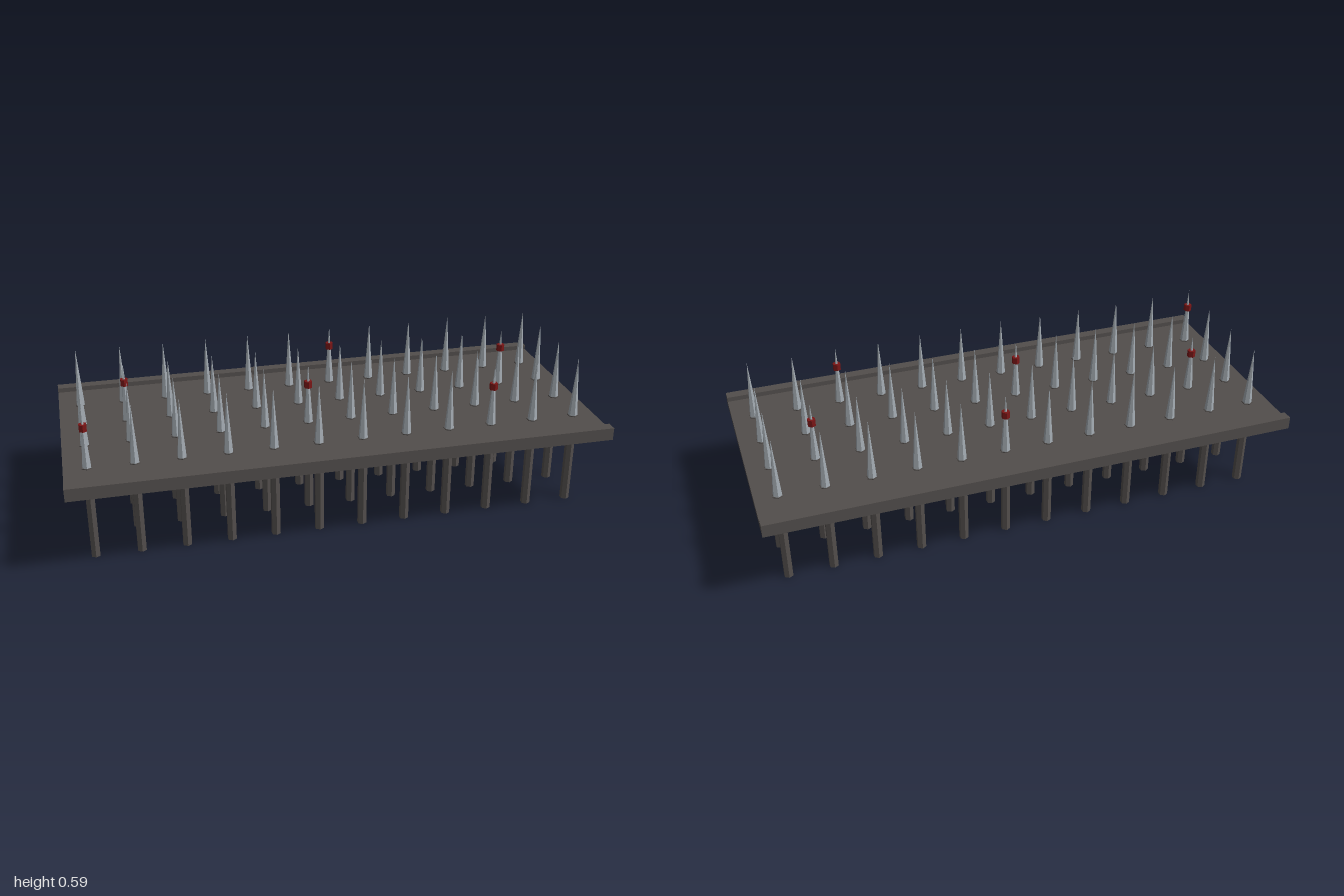
import * as THREE from 'three';

export function createModel() {
  const iron = new THREE.MeshStandardMaterial({ color: 0x524e4c });
  iron.name = 'darkIron';
  const steel = new THREE.MeshStandardMaterial({ color: 0xa3abb2 });
  steel.name = 'paleSteel';
  const red = new THREE.MeshStandardMaterial({ color: 0x7a1616 });
  red.name = 'darkRed';

  const model = new THREE.Group();
  model.name = 'spikeTrap';

  const add = (parent, name, geometry, material, x, y, z) => {
    const mesh = new THREE.Mesh(geometry, material);
    mesh.name = name;
    mesh.position.set(x, y, z);
    parent.add(mesh);
  };
  // Flat facets for the low-poly round parts
  const faceted = (geometry) => {
    const flat = geometry.toNonIndexed();
    flat.computeVertexNormals();
    return flat;
  };

  // Base plate with a raised rail along the front and back edges
  add(model, 'plate', new THREE.BoxGeometry(2, 0.03, 0.806), iron, 0, 0.345, 0);
  const railGeo = new THREE.BoxGeometry(2, 0.048, 0.04);
  for (const side of [1, -1]) {
    add(model, side > 0 ? 'frontRail' : 'backRail', railGeo, iron, 0, 0.354, side * 0.423);
  }

  // Shared spike parts
  const shaftGeo = faceted(new THREE.CylinderGeometry(0.018, 0.018, 0.335, 6));
  const socketGeo = faceted(new THREE.CylinderGeometry(0.021, 0.021, 0.004, 6));
  const tipGeo = faceted(new THREE.ConeGeometry(0.0178, 0.234, 6));
  const bandGeo = faceted(new THREE.CylinderGeometry(0.0155, 0.0155, 0.026, 6));

  // Spikes carrying a red band, as column,row
  const banded = new Set(['0,3', '1,1', '5,2', '6,0', '9,3', '10,1']);

  // Grid of twelve by four spikes
  for (let col = 0; col < 12; col++) {
    for (let row = 0; row < 4; row++) {
      const spike = new THREE.Group();
      spike.name = 'spike';
      spike.position.set((col - 5.5) / 6, 0, (row - 1.5) * 0.178);
      add(spike, 'shaft', shaftGeo, iron, 0, 0.1675, 0);
      add(spike, 'socket', socketGeo, iron, 0, 0.361, 0);
      add(spike, 'tip', tipGeo, steel, 0, 0.478, 0);
      if (banded.has(`${col},${row}`)) add(spike, 'band', bandGeo, red, 0, 0.516, 0);
      model.add(spike);
    }
  }
  return model;
}
